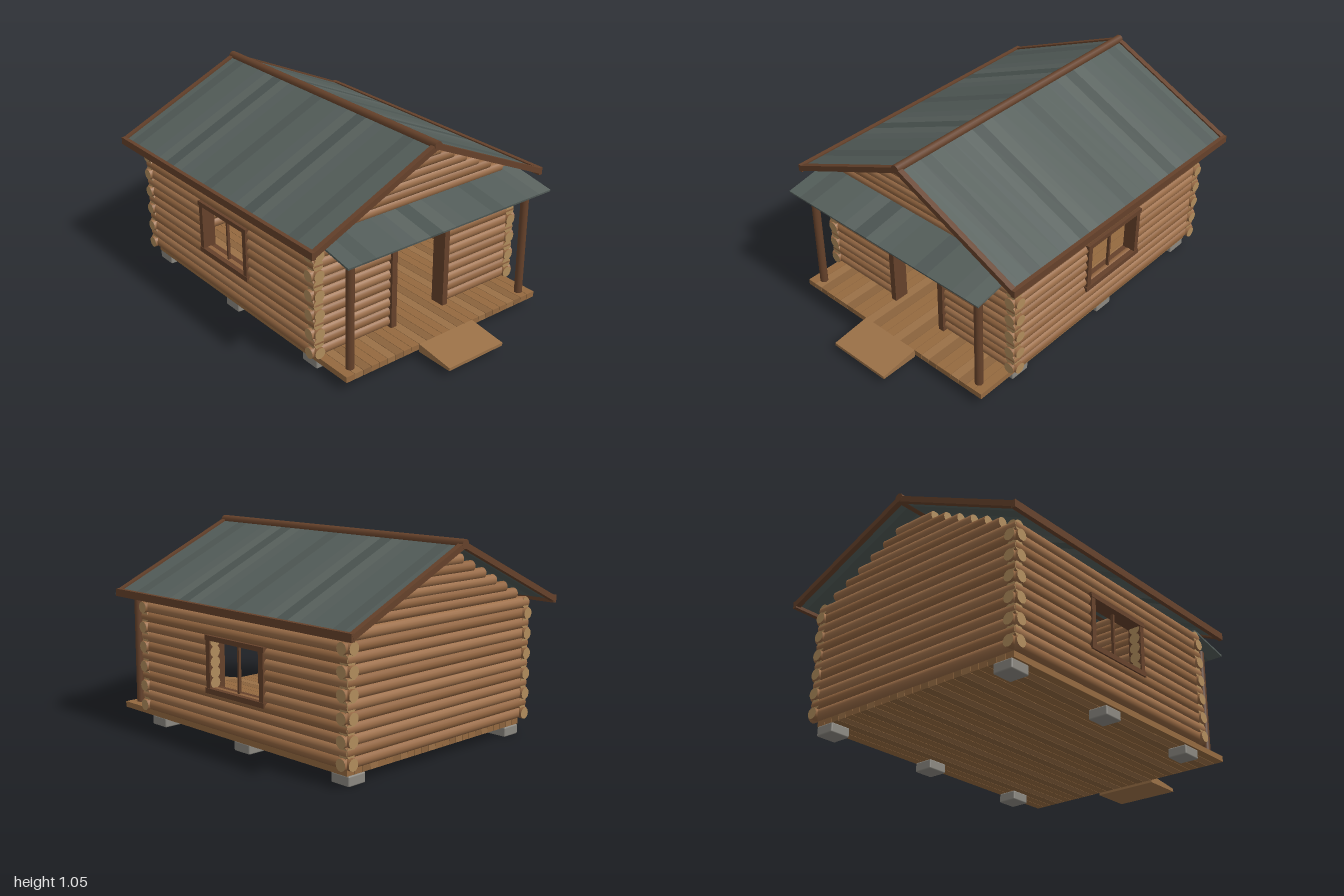
import * as THREE from 'three';
import { RoundedBoxGeometry } from 'three/addons/geometries/RoundedBoxGeometry.js';

const mat = (color) => new THREE.MeshStandardMaterial({ color });
const logMats = [0x996b46, 0x91643f, 0x9e704a].map(mat);
const endMat = mat(0xb08c5c);
const trimMat = mat(0x65412a);
const floorMats = [0x94693f, 0x8b633d, 0x9a7046].map(mat);
const roofMats = [0x535d59, 0x4e5754, 0x59625e, 0x555e5b, 0x4b5451].map(mat);
const stoneMat = mat(0x8a8780);

const FRONT = 0.56, BACK = -0.865, SIDE = 0.62; // wall centre lines
const R = 0.029, Y0 = 0.111, STEP = 0.0512, LAYERS = 12;

function add(parent, name, geometry, material, x = 0, y = 0, z = 0) {
  const mesh = new THREE.Mesh(geometry, material);
  mesh.name = name;
  mesh.position.set(x, y, z);
  parent.add(mesh);
  return mesh;
}

function box(parent, name, w, h, d, x, y, z, material = trimMat) {
  return add(parent, name, new THREE.BoxGeometry(w, h, d), material, x, y, z);
}

// Round log along x or z, from a to b, with pale cut ends
function log(parent, name, axis, a, b, y, other, r = R, tint = 0) {
  const g = new THREE.CylinderGeometry(r, r, b - a, 16);
  if (axis === 'x') g.rotateZ(Math.PI / 2); else g.rotateX(Math.PI / 2);
  const mid = (a + b) / 2;
  const mats = [logMats[tint % 3], endMat, endMat];
  return add(parent, name, g, mats, axis === 'x' ? mid : other, y, axis === 'x' ? other : mid);
}

function group(parent, name) {
  const g = new THREE.Group();
  g.name = name;
  parent.add(g);
  return g;
}

function buildWalls(parent) {
  const front = group(parent, 'frontWall'), back = group(parent, 'backWall');
  const sides = [1, -1].map((s) => [s, group(parent, s > 0 ? 'leftWall' : 'rightWall')]);
  for (let i = 0; i < LAYERS; i++) {
    const y = Y0 + i * STEP, long = i % 2 === 0;
    const hx = long ? 0.66 : 0.645;
    // Front wall leaves the doorway open
    if (i < 10) {
      log(front, 'frontLog', 'x', -hx, -0.165, y, FRONT, R, i);
      log(front, 'frontLog', 'x', 0.165, hx, y, FRONT, R, i);
    } else log(front, 'frontLog', 'x', -hx, hx, y, FRONT, R, i);
    log(back, 'backLog', 'x', -hx, hx, y, BACK, R, i);
    // Side walls leave the windows open
    const z0 = long ? -0.905 : -0.89, z1 = long ? 0.597 : 0.588;
    for (const [s, wall] of sides) {
      if (i >= 4 && i <= 8) {
        log(wall, 'sideLog', 'z', z0, -0.335, y, s * SIDE, R, i + 1);
        log(wall, 'sideLog', 'z', 0.025, z1, y, s * SIDE, R, i + 1);
      } else log(wall, 'sideLog', 'z', z0, z1, y, s * SIDE, R, i + 1);
    }
  }
  // Stepped gable logs
  for (const [wall, z] of [[front, FRONT], [back, BACK]])
    for (let i = 0; i < 6; i++) {
      const h = 0.548 - i * 0.0855;
      log(wall, 'gableLog', 'x', -h, h, 0.729 + i * 0.0415, z, 0.027, i);
    }
}

function buildOpenings(parent) {
  const door = group(parent, 'doorFrame');
  for (const s of [1, -1]) box(door, 'doorPost', 0.032, 0.51, 0.08, s * 0.17, 0.335, FRONT);
  box(door, 'doorLintel', 0.372, 0.04, 0.084, 0, 0.604, FRONT);

  for (const s of [1, -1]) {
    const win = group(parent, s > 0 ? 'leftWindow' : 'rightWindow');
    win.position.set(s * SIDE, 0, -0.153);
    for (const e of [1, -1]) box(win, 'windowJamb', 0.07, 0.27, 0.028, 0, 0.408, e * 0.193);
    box(win, 'windowHead', 0.076, 0.024, 0.424, 0, 0.54, 0);
    box(win, 'windowSill', 0.076, 0.026, 0.424, 0, 0.278, 0);
    box(win, 'mullion', 0.014, 0.25, 0.012, 0, 0.41, 0);
  }
}

function buildBase(parent) {
  // Stone footings
  for (const x of [-0.56, 0.56])
    for (const z of [0.503, -0.155, -0.815])
      add(parent, 'footing', new RoundedBoxGeometry(0.106, 0.05, 0.112, 2, 0.007), stoneMat, x, 0.025, z);
  // Floor planks running from back to porch
  const floor = group(parent, 'floor');
  const n = 25, w = 1.24 / n;
  for (let i = 0; i < n; i++)
    box(floor, 'floorPlank', w - 0.002, 0.03, 1.655, -0.62 + (i + 0.5) * w, 0.065, -0.0375, floorMats[(i * 2 + (i >> 2)) % 3]);
  // Entrance ramp, a wedge seen from the side
  const profile = new THREE.Shape([[0.79, 0.037], [1, 0.037], [1, 0.053], [0.79, 0.08]].map(([a, b]) => new THREE.Vector2(a, b)));
  const ramp = new THREE.ExtrudeGeometry(profile, { depth: 0.35, bevelEnabled: false });
  ramp.rotateY(-Math.PI / 2);
  add(parent, 'ramp', ramp, floorMats[2], 0.175, 0, 0);
}

function buildRoof(parent) {
  const zA = 0.688, zB = -0.993, len = zA - zB, mid = (zA + zB) / 2;
  const drop = 0.325, run = 0.72, slope = Math.hypot(run, drop), angle = Math.atan2(drop, run);
  for (const s of [1, -1]) {
    const side = group(parent, s > 0 ? 'leftRoof' : 'rightRoof');
    side.position.set(0, 1.02, 0);
    side.rotation.z = -s * angle;
    // Sheets of slightly different shade
    const n = 24, w = len / n;
    for (let i = 0; i < n; i++)
      box(side, 'roofSheet', slope, 0.012, w, s * slope / 2, 0, zB + (i + 0.5) * w, roofMats[(i * i + (i >> 1)) % 5]);
    for (const z of [zA - 0.013, zB + 0.013])
      box(side, 'bargeBoard', slope, 0.028, 0.028, s * slope / 2, 0, z);
    box(parent, 'eaveBoard', 0.022, 0.038, len, s * 0.719, 0.695, mid);
  }
  const ridge = new THREE.CylinderGeometry(0.023, 0.023, len + 0.004, 10).rotateX(Math.PI / 2);
  add(parent, 'ridgeLog', ridge, trimMat, 0, 1.024, mid);
}

function buildPorch(parent) {
  for (const s of [1, -1])
    add(parent, 'porchPost', new THREE.CylinderGeometry(0.021, 0.021, 0.595, 14), trimMat, s * 0.558, 0.3775, 0.738);
  // Lean-to roof over the entrance
  const lean = group(parent, 'porchRoof');
  lean.position.set(0, 0.687, 0.693);
  lean.rotation.x = 0.19;
  const n = 16, w = 1.28 / n;
  for (let i = 0; i < n; i++)
    box(lean, 'porchSheet', w, 0.01, 0.27, -0.64 + (i + 0.5) * w, 0, 0, roofMats[(i * i + (i >> 1)) % 5]);
}

export function createModel() {
  const cabin = new THREE.Group();
  cabin.name = 'logCabin';
  buildBase(cabin);
  buildWalls(cabin);
  buildOpenings(cabin);
  buildRoof(cabin);
  buildPorch(cabin);
  return cabin;
}
